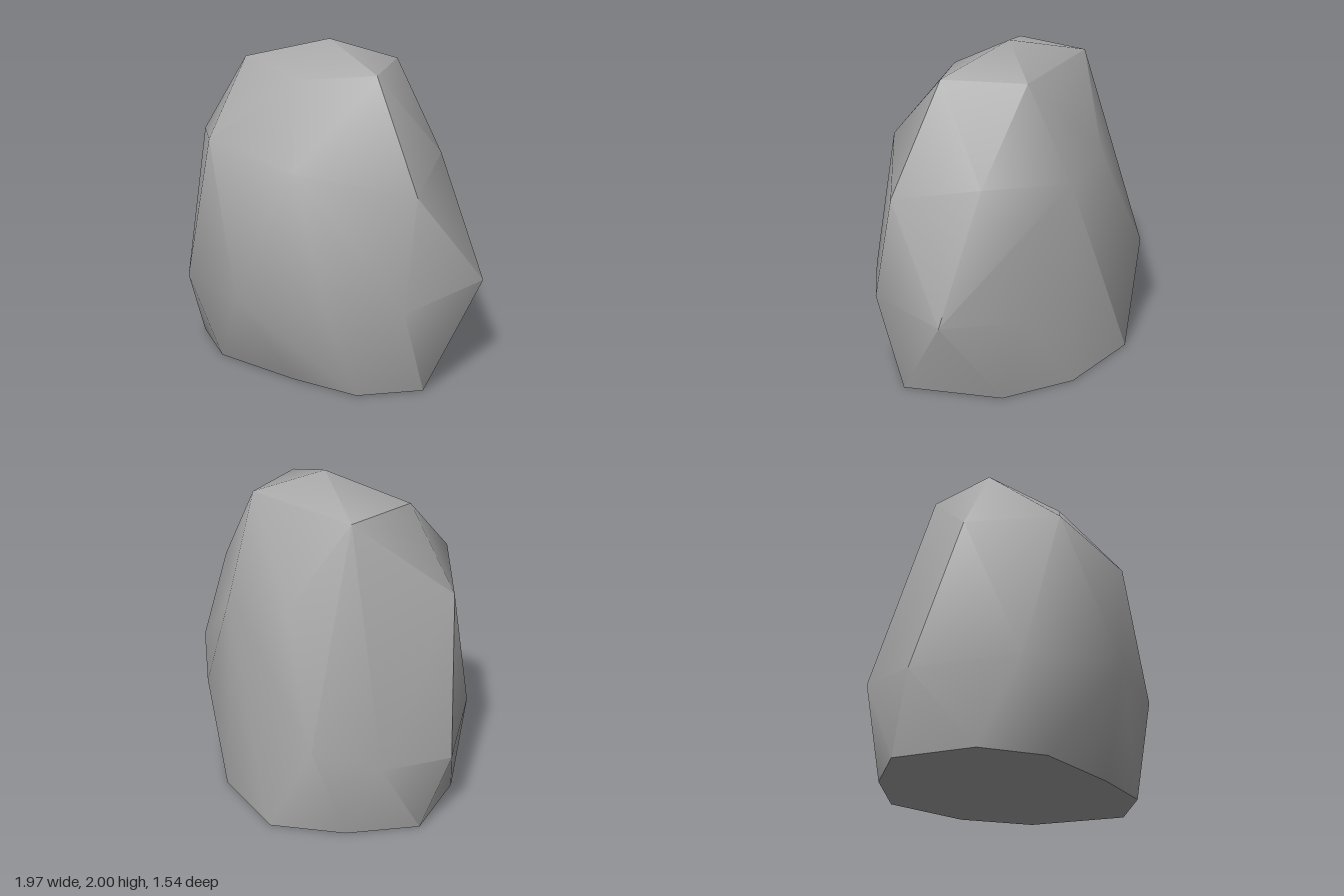
import * as THREE from 'three';
import { toCreasedNormals } from 'three/addons/utils/BufferGeometryUtils.js';
import { ConvexGeometry } from 'three/addons/geometries/ConvexGeometry.js';

// Corner points of the boulder, ring by ring from the ground up
const base = [
  [0.86, 0, 0.04], [0.61, 0, 0.36], [0.19, 0, 0.47], [-0.37, 0, 0.55], [-0.73, 0, 0.38],
  [-0.93, 0, -0.07], [-0.71, 0, -0.46], [-0.37, 0, -0.77], [0.17, 0, -0.73], [0.58, 0, -0.5],
];
const belly = [
  [0.98, 0.63, -0.36], [0.86, 0.57, 0.24], [0.54, 0.55, 0.54], [0.02, 0.57, 0.77], [-0.61, 0.5, 0.6],
  [-0.99, 0.45, 0.11], [-0.91, 0.51, -0.36], [-0.66, 0.62, -0.67], [-0.04, 0.6, -0.71], [0.53, 0.55, -0.62],
];
const shoulder = [
  [0.83, 1.23, 0.11], [0.3, 1.36, 0.57], [-0.33, 1.46, 0.63], [-0.77, 1.38, 0.28],
  [-0.3, 1.33, -0.57], [0.15, 1.3, -0.66], [0.62, 1.35, -0.38],
];
const crown = [
  [0.46, 1.86, 0.04], [0.05, 1.81, 0.28], [-0.48, 1.87, 0.18], [-0.52, 1.86, -0.28],
  [0.24, 1.87, -0.41], [-0.02, 2, -0.08],
];

export function createModel() {
  const group = new THREE.Group();
  group.name = 'boulder';

  const stone = new THREE.MeshStandardMaterial({ color: 0xa8a8a8 });
  stone.name = 'stone grey';

  // One faceted stone, smooth over gentle bends and sharp at steep ones
  const points = [...base, ...belly, ...shoulder, ...crown].map((p) => new THREE.Vector3(...p));
  const geometry = toCreasedNormals(new ConvexGeometry(points), 0.75);
  const rock = new THREE.Mesh(geometry, stone);
  rock.name = 'rock';
  group.add(rock);

  return group;
}
